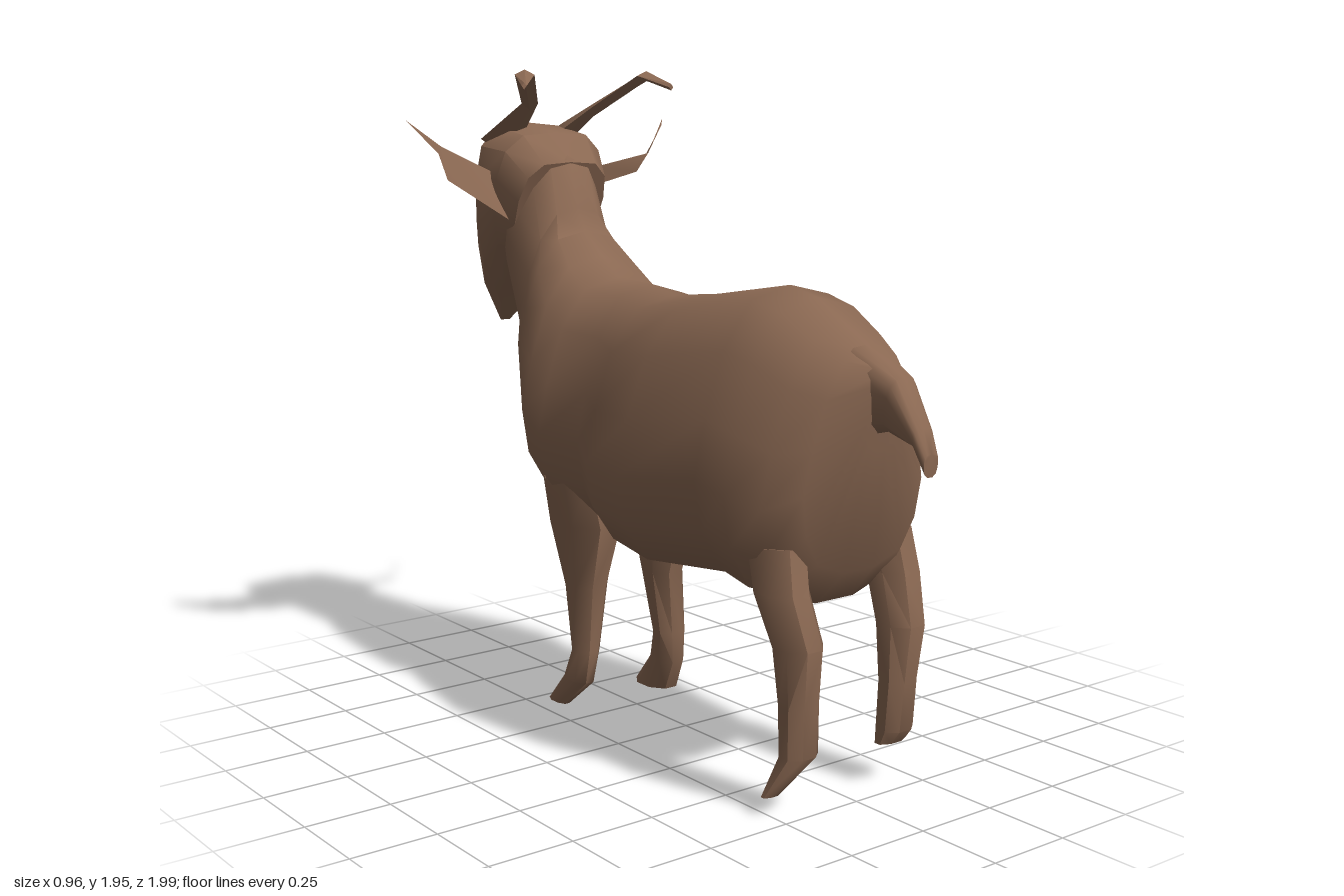
import * as THREE from 'three';
import { toCreasedNormals } from 'three/addons/utils/BufferGeometryUtils.js';

const coat = new THREE.MeshStandardMaterial({ color: 0x8a6852, side: THREE.DoubleSide });
coat.name = 'brown coat';

function finish(name, pts, idx, crease = 0.8) {
  const g = new THREE.BufferGeometry();
  g.setAttribute('position', new THREE.Float32BufferAttribute(pts.flat(), 3));
  g.setIndex(idx);
  const mesh = new THREE.Mesh(toCreasedNormals(g, crease), coat);
  mesh.name = name;
  return mesh;
}

// Closed skin over a list of rings, turned so faces point outwards
function loft(name, rings, crease) {
  const n = rings[0].length, pts = rings.flat(), idx = [];
  for (let r = 0; r < rings.length - 1; r++) {
    for (let i = 0; i < n; i++) {
      const a = r * n + i, b = r * n + (i + 1) % n;
      idx.push(a, b, a + n, b, b + n, a + n);
    }
  }
  const last = (rings.length - 1) * n;
  for (let i = 1; i < n - 1; i++) {
    idx.push(0, i + 1, i, last, last + i, last + i + 1);
  }
  let volume = 0;
  const v = pts.map(p => new THREE.Vector3(...p));
  for (let i = 0; i < idx.length; i += 3) {
    volume += v[idx[i]].dot(v[idx[i + 1]].clone().cross(v[idx[i + 2]]));
  }
  if (volume < 0) idx.reverse();
  return finish(name, pts, idx, crease);
}

// Thin strip between two edges given as pairs of points
function strip(name, pairs) {
  const idx = [];
  for (let i = 0; i < pairs.length - 1; i++) {
    const a = i * 2;
    idx.push(a, a + 1, a + 2, a + 1, a + 3, a + 2);
  }
  return finish(name, pairs.flat(), idx);
}

// Half outline of a cross-section: [share of width, share of height]
const PEAR = [[0, 1], [0.42, 0.96], [0.71, 0.8], [0.89, 0.58], [1, 0.38], [0.92, 0.2], [0.7, 0.06], [0.25, 0]];
const SHIELD = [[0, 1], [0.6, 0.98], [0.9, 0.86], [1, 0.65], [0.96, 0.4], [0.8, 0.15], [0.35, 0]];

// Ring from top point, bottom point and half width
function section(profile, [tz, ty, bz, by, w]) {
  const at = (s, [u, t]) => [s * u * w, by + (ty - by) * t, bz + (tz - bz) * t];
  const right = profile.map(p => at(1, p));
  const left = profile.slice(1).reverse().map(p => at(-1, p));
  return [...right, ...left];
}

// Eight-sided level ring: [y, x, z, x radius, z radius]
function legRing(side, [y, x, z, rx, rz]) {
  return Array.from({ length: 8 }, (_, i) => {
    const a = (i + 0.5) * Math.PI / 4;
    return [side * (x + rx * 1.05 * Math.cos(a)), y, z + rz * 1.05 * Math.sin(a)];
  });
}

export function createModel() {
  const goat = new THREE.Group();
  goat.name = 'goat';

  // Rump, barrel, shoulders and neck: [topZ, topY, bottomZ, bottomY, half width]
  const body = [
    [0.86, 1.19, 0.82, 0.98, 0.06],
    [0.78, 1.23, 0.745, 0.64, 0.21],
    [0.69, 1.28, 0.65, 0.54, 0.275],
    [0.57, 1.345, 0.55, 0.54, 0.31],
    [0.46, 1.37, 0.45, 0.57, 0.325],
    [0.15, 1.32, 0.15, 0.54, 0.36],
    [-0.05, 1.3, -0.05, 0.56, 0.325],
    [-0.17, 1.32, -0.17, 0.6, 0.27],
    [-0.33, 1.33, -0.33, 0.61, 0.3],
    [-0.42, 1.39, -0.44, 0.66, 0.29],
    [-0.51, 1.46, -0.54, 0.92, 0.24],
    [-0.55, 1.53, -0.64, 1.05, 0.18],
    [-0.59, 1.68, -0.76, 1.28, 0.165],
    [-0.67, 1.74, -0.79, 1.37, 0.15],
  ];
  goat.add(loft('body', body.map(r => section(PEAR, r))));

  // Head tapering down to the muzzle
  const head = [
    [-0.585, 1.67, -0.74, 1.33, 0.16],
    [-0.67, 1.76, -0.79, 1.35, 0.195],
    [-0.83, 1.79, -0.87, 1.27, 0.19],
    [-0.92, 1.69, -0.93, 1.2, 0.14],
    [-0.98, 1.63, -0.985, 1.14, 0.05],
  ];
  goat.add(loft('head', head.map(r => section(SHIELD, r))));

  // Tail
  const tail = [
    [0.76, 1.24, 0.76, 1.0, 0.08],
    [0.9, 1.17, 0.86, 1.03, 0.05],
    [0.97, 1.05, 0.96, 1.0, 0.035],
    [1.0, 0.99, 0.995, 0.93, 0.025],
  ];
  goat.add(loft('tail', tail.map(r => section(SHIELD, r))));

  // Pointed brisket in front of the chest, with an upright tuft
  const brisket = [
    [-0.36, 0.92, -0.36, 0.62, 0.27],
    [-0.56, 0.86, -0.55, 0.7, 0.17],
    [-0.68, 0.9, -0.72, 0.785, 0.09],
    [-0.76, 0.88, -0.8, 0.83, 0.02],
  ];
  goat.add(loft('brisket', brisket.map(r => section(SHIELD, r)), 0.3));
  goat.add(strip('brisketTuft', [
    [[0.14, 0.84, -0.58], [0.02, 0.87, -0.64]],
    [[0.15, 1.04, -0.63], [0, 0.84, -0.8]],
  ]));

  for (const side of [1, -1]) {
    const left = side > 0, label = left ? 'left' : 'right';

    // Legs; the left ones end in broad hooves, the right ones in narrow points
    const rear = [
      [0.72, 0.19, 0.63, 0.07, 0.09],
      [0.6, 0.2, 0.665, 0.07, 0.08],
      [0.46, 0.185, 0.715, 0.065, 0.07],
      [0.3, 0.18, 0.715, 0.055, 0.05],
      [0.16, 0.175, 0.71, 0.055, 0.045],
      left ? [0.12, 0.17, 0.7, 0.05, 0.025] : [0.05, 0.235, 0.67, 0.03, 0.015],
    ];
    const front = [
      [0.75, 0.17, -0.32, 0.09, 0.13],
      [0.6, 0.15, -0.31, 0.09, 0.14],
      [0.4, 0.145, -0.31, 0.06, 0.07],
      [0.2, 0.16, -0.295, left ? 0.05 : 0.04, 0.045],
      [0.1, 0.17, -0.32, left ? 0.05 : 0.035, 0.06],
      left ? [0, 0.18, -0.39, 0.055, 0.08] : [0, 0.17, -0.43, 0.02, 0.045],
    ];
    goat.add(loft(label + 'RearLeg', rear.map(r => legRing(side, r))));
    goat.add(loft(label + 'FrontLeg', front.map(r => legRing(side, r))));

    // Swept-back horns: [x, y, z, half width, half height]
    const horn = left
      ? [[0.12, 1.74, -0.83, 0.03, 0.04], [0.14, 1.83, -0.66, 0.02, 0.02], [0.23, 1.935, -0.5, 0.035, 0.015], [0.26, 1.9, -0.41, 0.008, 0.01]]
      : [[0.1, 1.74, -0.83, 0.075, 0.05], [0.1, 1.85, -0.66, 0.03, 0.02], [0.22, 1.935, -0.5, 0.035, 0.015], [0.28, 1.9, -0.41, 0.008, 0.01]];
    goat.add(loft(label + 'Horn', horn.map(([x, y, z, w, h]) =>
      [[w, 0], [0, h], [-w, 0], [0, -h]].map(([dx, dy]) => [side * x + dx, y + dy, z])), 0.3));
  }

  // Ears, one broad and one narrow
  goat.add(strip('rightEar', [
    [[-0.16, 1.49, -0.69], [-0.16, 1.63, -0.76]],
    [[-0.38, 1.62, -0.69], [-0.36, 1.72, -0.76]],
    [[-0.41, 1.7, -0.69], [-0.48, 1.8, -0.76]],
  ]));
  goat.add(strip('leftEar', [
    [[0.16, 1.59, -0.69], [0.16, 1.65, -0.68]],
    [[0.33, 1.63, -0.69], [0.37, 1.69, -0.68]],
    [[0.47, 1.78, -0.74], [0.48, 1.8, -0.75]],
  ]));
  return goat;
}
